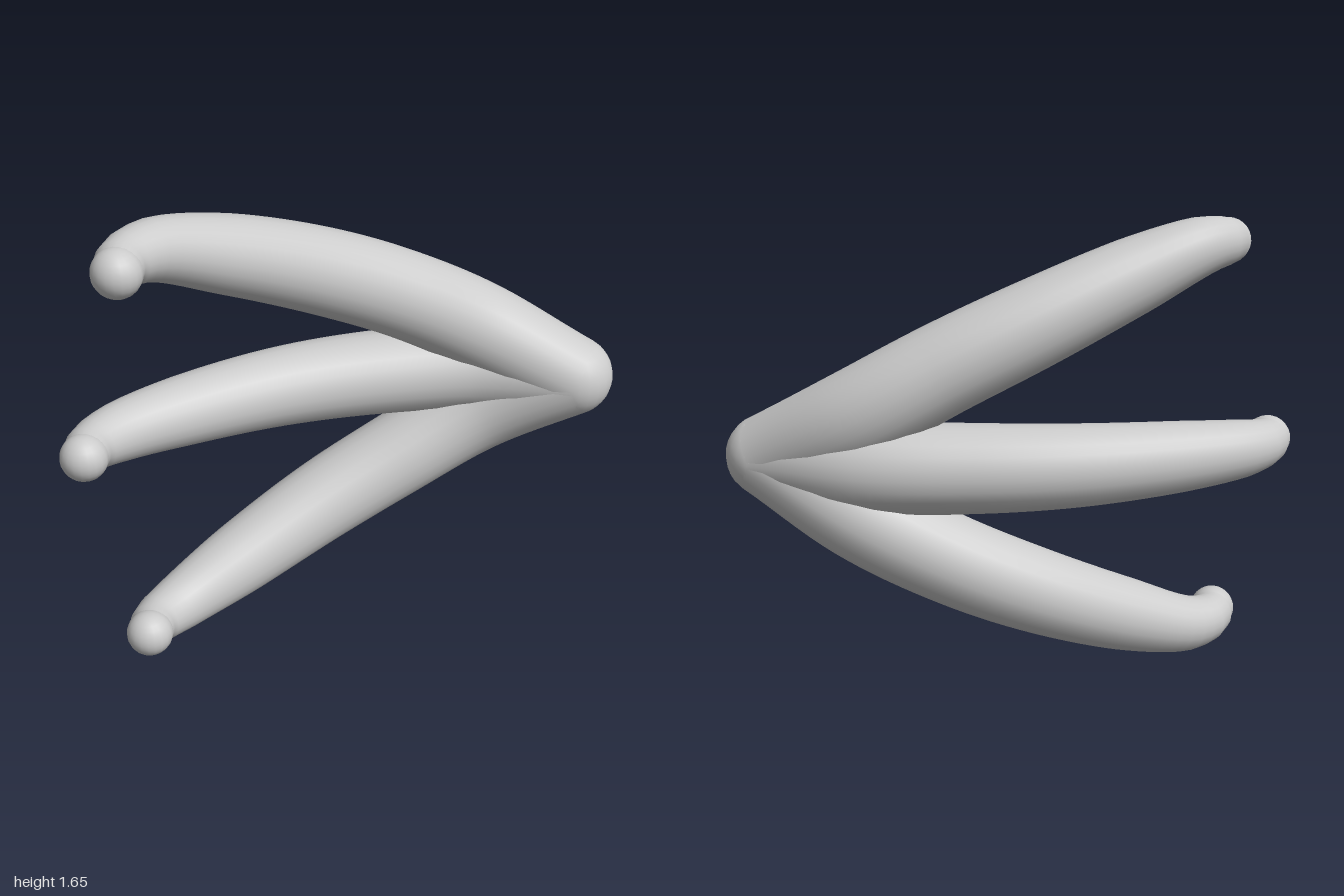
import * as THREE from 'three';

const MID_Y = 0.83; // height of the middle prong and mirror plane
const ROOT = [0.85, MID_Y, -0.2, 0.15];

// Centre line points with radius: x, y, z, r
const SIDE_PRONG = [
  ROOT,
  [0.5, 1.01, -0.27, 0.165],
  [0.2, 1.175, -0.22, 0.162],
  [-0.1, 1.32, -0.12, 0.155],
  [-0.42, 1.465, 0.045, 0.136],
  [-0.64, 1.55, 0.19, 0.106],
  [-0.725, 1.557, 0.29, 0.088],
  [-0.738, 1.55, 0.36, 0.078],
];
const MIDDLE_PRONG = [
  ROOT,
  [0.47, MID_Y, -0.285, 0.163],
  [0.1, MID_Y, -0.25, 0.158],
  [-0.25, MID_Y, -0.16, 0.147],
  [-0.6, MID_Y, 0.0, 0.128],
  [-0.82, MID_Y, 0.14, 0.106],
  [-0.9, MID_Y, 0.23, 0.088],
  [-0.915, MID_Y, 0.295, 0.078],
];

// Tube whose radius follows the fourth value of each point
function taperedTube(points, segments = 40, sides = 24) {
  const path = new THREE.CatmullRomCurve3(points.map(([x, y, z]) => new THREE.Vector3(x, y, z)));
  const radii = new THREE.SplineCurve(points.map((p, i) => new THREE.Vector2(i, p[3])));
  const geometry = new THREE.TubeGeometry(path, segments, 1, sides, false);
  const { position, normal } = geometry.attributes;
  const p = new THREE.Vector3();
  const n = new THREE.Vector3();
  for (let i = 0; i < position.count; i++) {
    const row = Math.floor(i / (sides + 1));
    const r = radii.getPoint(path.getUtoTmapping(row / segments)).y;
    n.fromBufferAttribute(normal, i);
    p.fromBufferAttribute(position, i).addScaledVector(n, r - 1);
    position.setXYZ(i, p.x, p.y, p.z);
  }
  return geometry;
}

export function createModel() {
  const model = new THREE.Group();
  model.name = 'threeProngClaw';
  const material = new THREE.MeshStandardMaterial({ color: 0xcccccc });

  function add(parent, geometry, name) {
    const mesh = new THREE.Mesh(geometry, material);
    mesh.name = name;
    parent.add(mesh);
    return mesh;
  }

  // Curved prong with a slightly wider ball at its tip
  function addProng(points, name) {
    const prong = new THREE.Group();
    prong.name = name;
    add(prong, taperedTube(points), name + 'Shaft');
    const [x, y, z] = points[points.length - 1];
    add(prong, new THREE.SphereGeometry(0.084, 20, 14), name + 'Tip').position.set(x, y, z);
    model.add(prong);
  }

  addProng(SIDE_PRONG, 'upperProng');
  addProng(MIDDLE_PRONG, 'middleProng');
  addProng(SIDE_PRONG.map(([x, y, z, r]) => [x, 2 * MID_Y - y, z, r]), 'lowerProng');

  // Rounded joint where the prongs meet
  add(model, new THREE.SphereGeometry(ROOT[3], 24, 16), 'rootJoint').position.set(...ROOT.slice(0, 3));

  return model;
}
